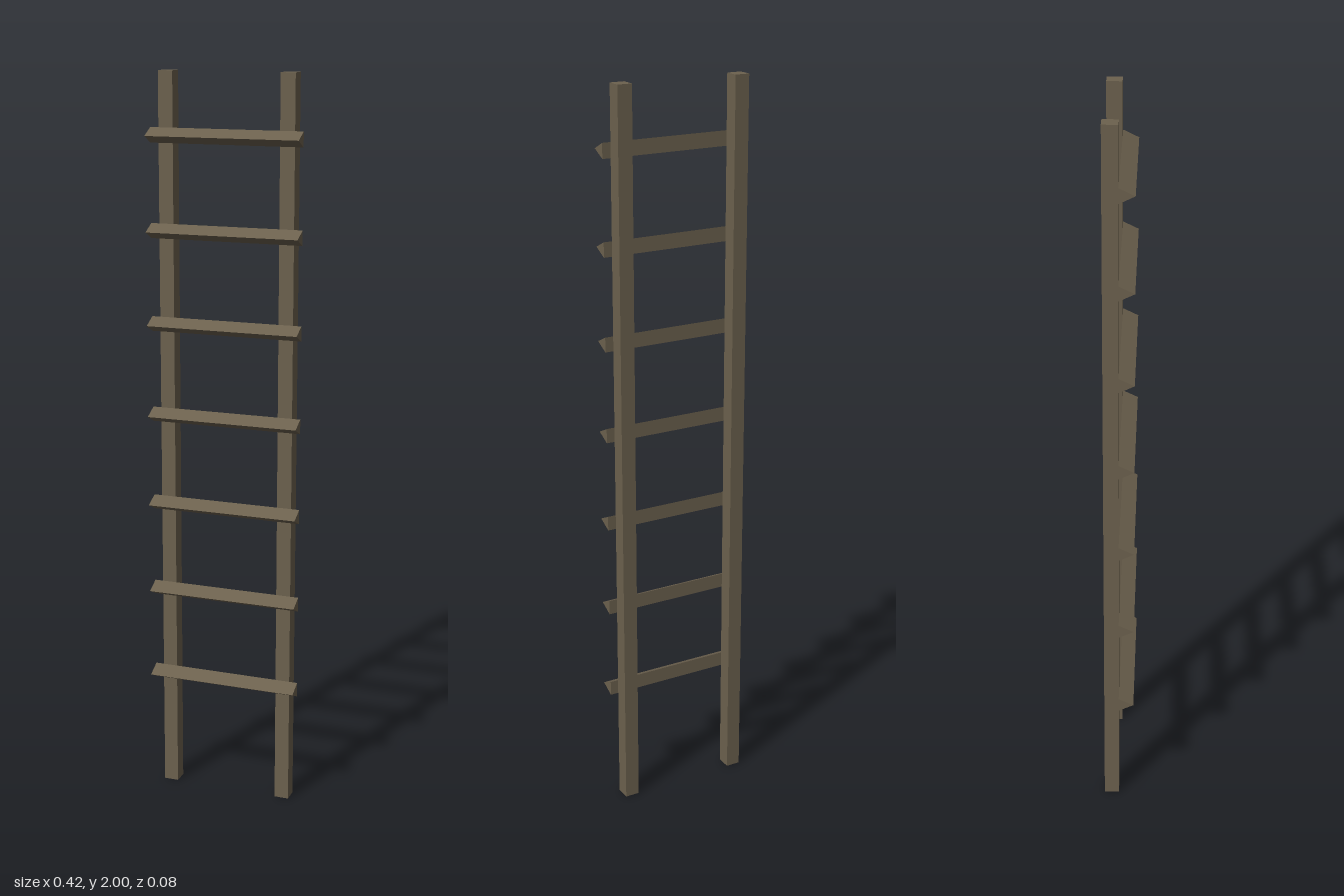
import * as THREE from 'three';

export function createModel() {
  const group = new THREE.Group();
  const wood = new THREE.MeshStandardMaterial({ color: 0x6c614e, flatShading: true });
  wood.name = 'weathered wood';

  const size = 0.041; // thickness of rails and rungs
  const rungLength = 0.42;

  // Two square upright rails, behind the rungs
  const railGeometry = new THREE.BoxGeometry(0.04, 2, size);
  for (const side of [1, -1]) {
    const rail = new THREE.Mesh(railGeometry, wood);
    rail.name = side > 0 ? 'leftRail' : 'rightRail';
    rail.position.set(side * 0.167, 1, -size / 2);
    group.add(rail);
  }

  // Triangular rungs: flat back on the rails, edge pointing forward
  const profile = new THREE.Shape([
    new THREE.Vector2(0, -0.02),
    new THREE.Vector2(0, 0.02),
    new THREE.Vector2(-size, 0),
  ]);
  const rungGeometry = new THREE.ExtrudeGeometry(profile, { depth: rungLength, bevelEnabled: false });
  rungGeometry.translate(0, 0, -rungLength / 2);
  rungGeometry.rotateY(Math.PI / 2);
  for (let i = 0; i < 7; i++) {
    const rung = new THREE.Mesh(rungGeometry, wood);
    rung.name = `rung${i + 1}`;
    rung.position.y = 0.335 + i * 0.25;
    group.add(rung);
  }

  return group;
}
